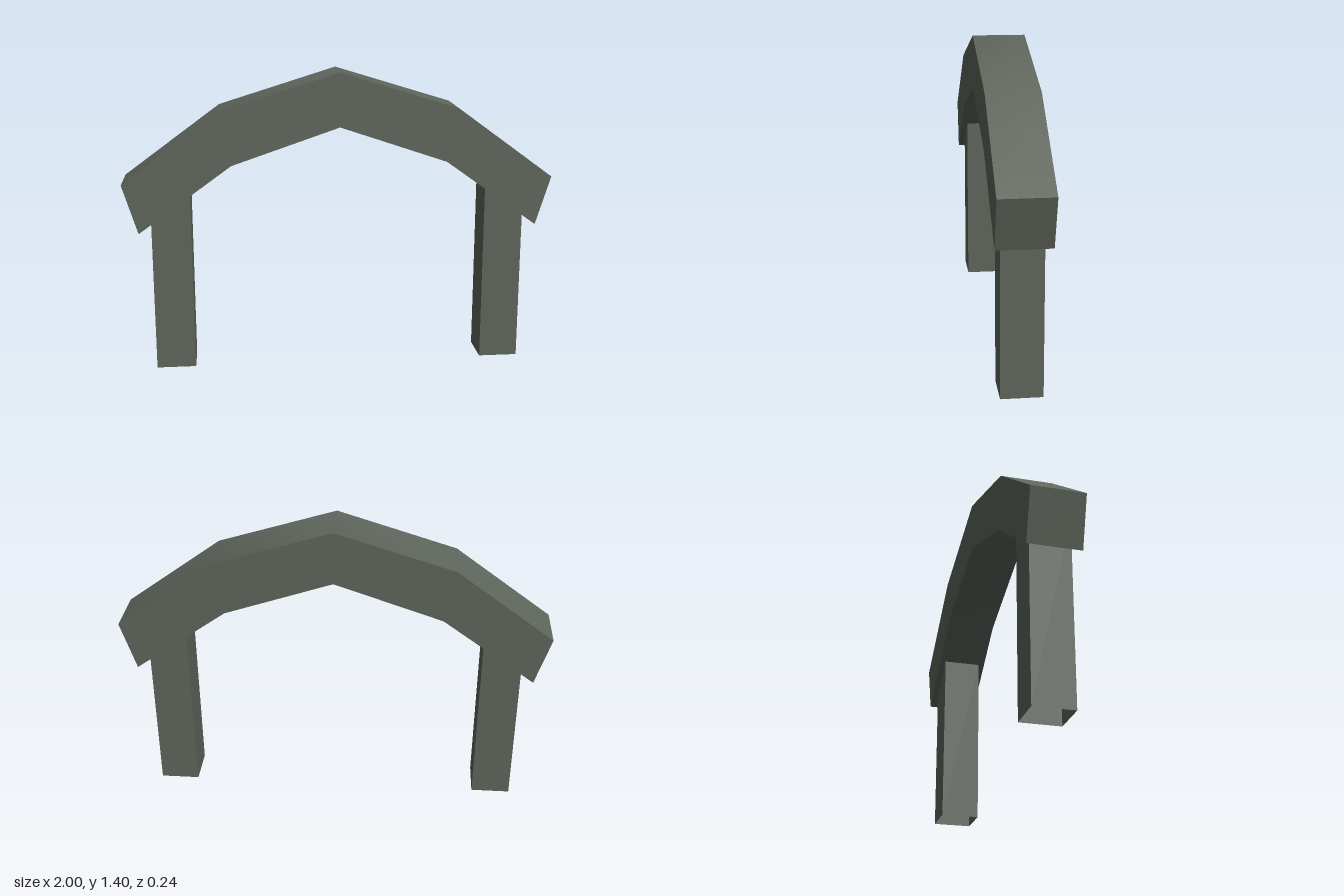
import * as THREE from 'three';
import { toCreasedNormals } from 'three/addons/utils/BufferGeometryUtils.js';

const stone = new THREE.MeshStandardMaterial({ color: 0x5f665c, side: THREE.DoubleSide });
stone.name = 'greyGreenStone';

// Faceted arch beam, softly shaded along its curve
function createArch() {
  const outer = [[1, 0.9], [0.55, 1.23], [0, 1.4], [-0.55, 1.23], [-1, 0.9]];
  const inner = [[-0.93, 0.67], [-0.5, 0.98], [0, 1.15], [0.5, 0.98], [0.93, 0.67]];
  const shape = new THREE.Shape([...outer, ...inner].map(([x, y]) => new THREE.Vector2(x, y)));
  const depth = 0.24;
  const geometry = new THREE.ExtrudeGeometry(shape, { depth, bevelEnabled: false });
  geometry.translate(0, 0, -depth / 2);
  const arch = new THREE.Mesh(toCreasedNormals(geometry, 0.9), stone);
  arch.name = 'arch';
  return arch;
}

// Hollow square post, open at both ends
function createPost(side) {
  const width = 0.183, height = 0.85;
  const geometry = new THREE.CylinderGeometry(
    width / Math.SQRT2, width / Math.SQRT2, height, 4, 1, true
  );
  geometry.rotateY(Math.PI / 4);
  const post = new THREE.Mesh(toCreasedNormals(geometry, 0.5), stone);
  post.position.set(side * 0.782, height / 2, 0);
  post.name = side > 0 ? 'leftPost' : 'rightPost';
  return post;
}

export function createModel() {
  const model = new THREE.Group();
  model.name = 'archway';
  model.add(createArch());
  for (const side of [-1, 1]) model.add(createPost(side));
  return model;
}
